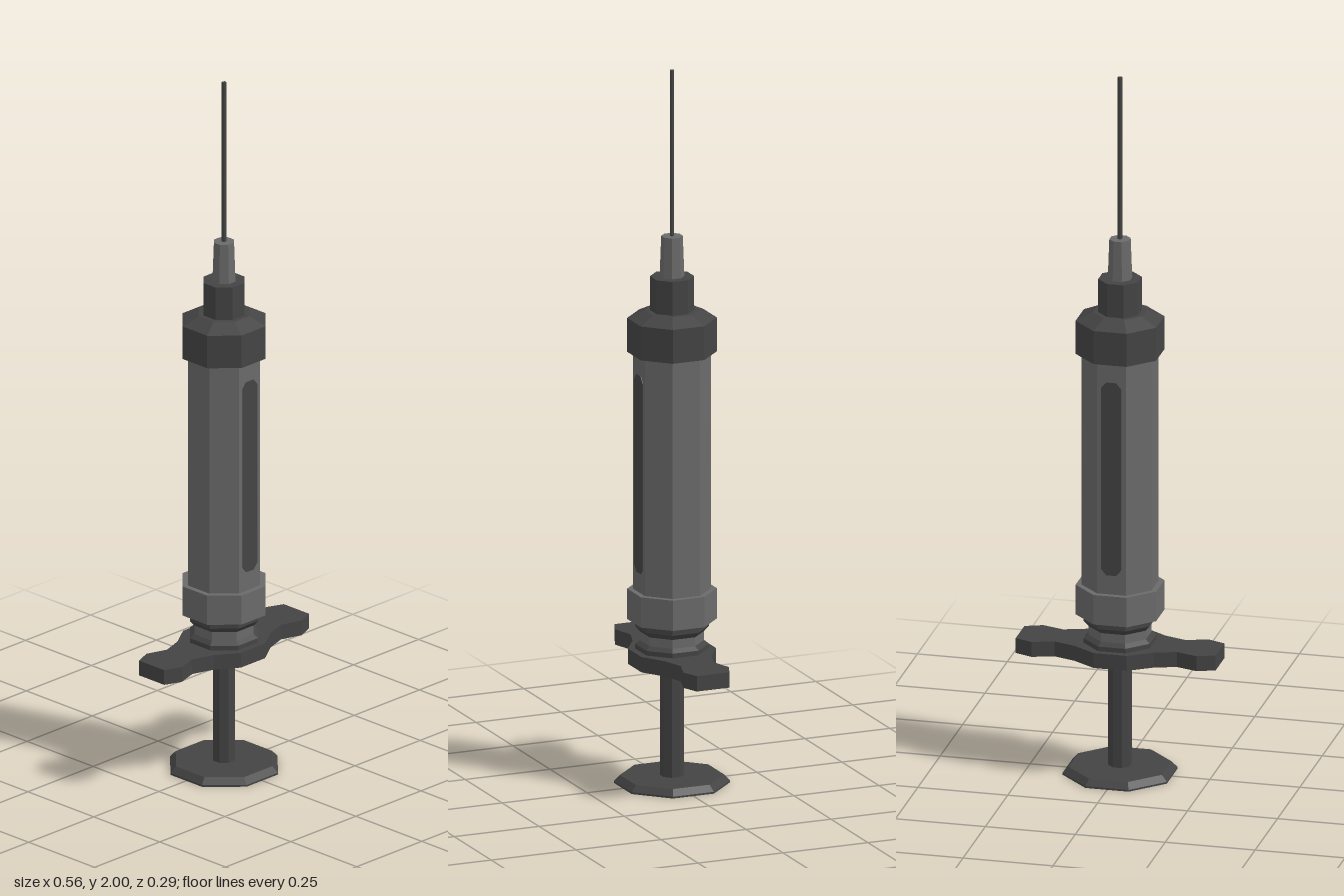
import * as THREE from 'three';

const material = (name, color) => {
  const m = new THREE.MeshStandardMaterial({ color, flatShading: true });
  m.name = name;
  return m;
};

export function createModel() {
  const group = new THREE.Group();
  const dark = material('dark grey', 0x444444);
  const light = material('light grey', 0x6a6a6a);

  const add = (name, geometry, mat) => {
    const mesh = new THREE.Mesh(geometry, mat);
    mesh.name = name;
    group.add(mesh);
    return mesh;
  };

  // Closed octagonal turning with a flat side to the front; profile is [half width, y], bottom to top
  const octagon = (name, mat, profile) => {
    const k = 1 / Math.cos(Math.PI / 8);
    const closed = [[0, profile[0][1]], ...profile, [0, profile.at(-1)[1]]];
    const points = closed.map(([r, y]) => new THREE.Vector2(r * k, y));
    return add(name, new THREE.LatheGeometry(points, 8, Math.PI / 8), mat);
  };

  // Plunger
  octagon('thumbRest', dark, [[0.145, 0], [0.145, 0.005], [0.13, 0.022]]);
  octagon('plungerRod', dark, [[0.03, 0.02], [0.03, 0.34]]);

  // Finger flange, one quarter outline mirrored to the full plate
  const quarter = [[0.278, 0.048], [0.23, 0.067], [0.17, 0.048], [0.11, 0.068], [0.046, 0.11]];
  const half = [...quarter, ...quarter.map(([x, z]) => [-x, z]).reverse()];
  const outline = [...half, ...half.map(([x, z]) => [x, -z]).reverse()];
  const flangeShape = new THREE.Shape(outline.map(([x, z]) => new THREE.Vector2(x, z)));
  const flange = add('fingerFlange',
    new THREE.ExtrudeGeometry(flangeShape, { depth: 0.043, bevelEnabled: false }), dark);
  flange.rotation.x = -Math.PI / 2;
  flange.position.y = 0.334;

  // Neck between flange and barrel
  octagon('neckLowerRing', dark, [[0.092, 0.375], [0.092, 0.39], [0.08, 0.4]]);
  octagon('neck', light, [[0.08, 0.39], [0.08, 0.44]]);
  octagon('neckUpperRing', dark, [[0.08, 0.425], [0.092, 0.44], [0.092, 0.462]]);

  // Barrel
  octagon('barrelCollar', light, [[0.112, 0.46], [0.112, 0.545]]);
  octagon('barrel', light, [[0.097, 0.54], [0.097, 1.215]]);
  octagon('barrelCap', dark, [[0.112, 1.21], [0.112, 1.305], [0.068, 1.327]]);

  // Long windows on the front and back faces
  const windowShape = new THREE.Shape([
    [-0.014, 0.6], [0.014, 0.6], [0.028, 0.617], [0.028, 1.138],
    [0.014, 1.155], [-0.014, 1.155], [-0.028, 1.138], [-0.028, 0.617],
  ].map(([x, y]) => new THREE.Vector2(x, y)));
  const windowGeometry = new THREE.ExtrudeGeometry(windowShape, { depth: 0.004, bevelEnabled: false });
  windowGeometry.translate(0, 0, 0.095);
  add('frontWindow', windowGeometry, dark);
  add('backWindow', windowGeometry, dark).rotation.y = Math.PI;

  // Needle and its mount
  octagon('needleHub', dark, [[0.055, 1.32], [0.055, 1.422]]);
  octagon('needleBase', light, [[0.031, 1.42], [0.027, 1.535]]);
  const needle = add('needle', new THREE.CylinderGeometry(0.0065, 0.0065, 0.47, 6), dark);
  needle.position.y = 1.765;

  return group;
}
